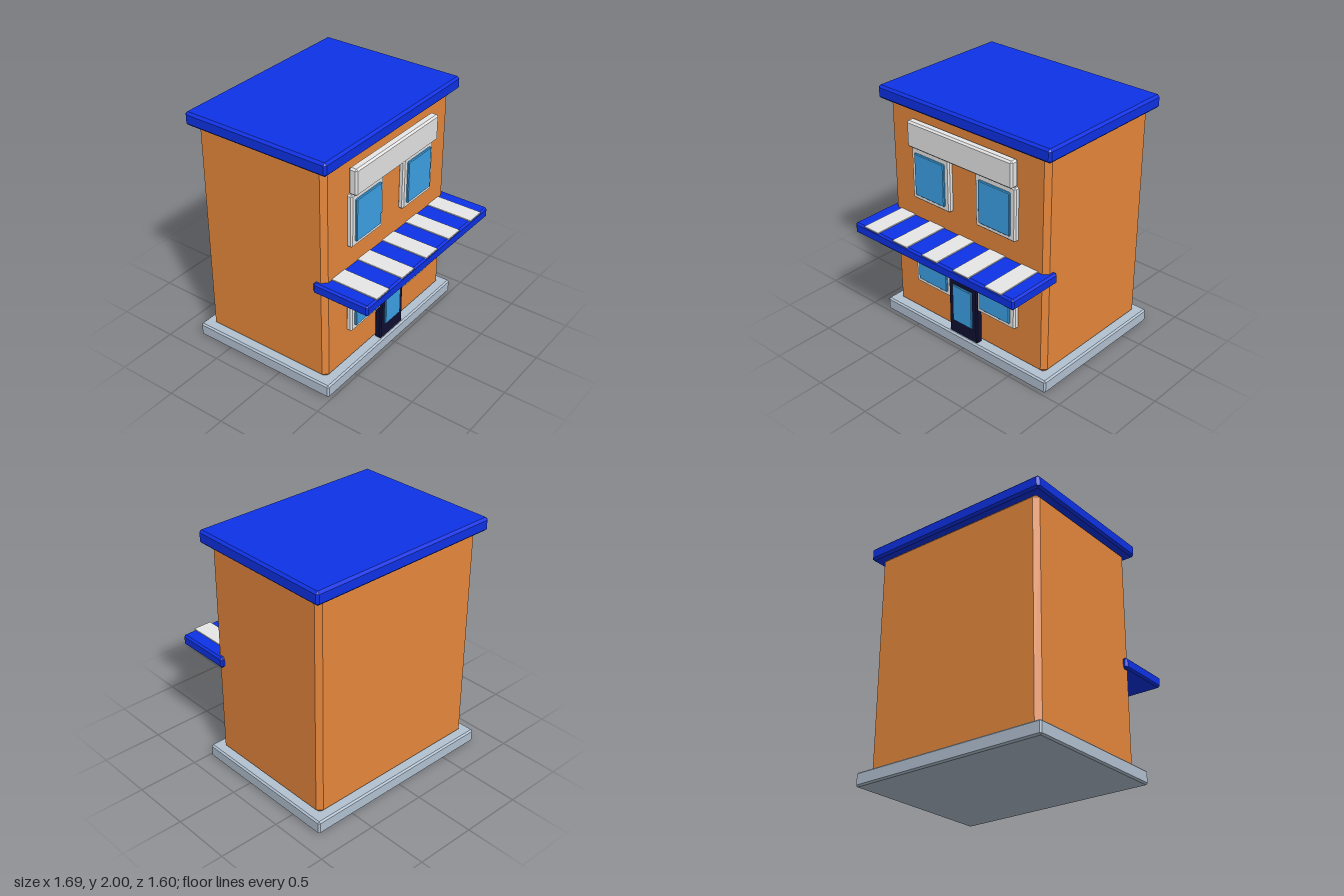
import * as THREE from 'three';
import { ConvexGeometry } from 'three/addons/geometries/ConvexGeometry.js';

const material = (name, color) => {
  const m = new THREE.MeshStandardMaterial({ color });
  m.name = name;
  return m;
};

// Box with flat 45 degree chamfers, given by its [min, max] range on each axis
function chamferBox(x, y, z, c) {
  const mid = [x, y, z].map(([a, b]) => (a + b) / 2);
  const half = [x, y, z].map(([a, b]) => (b - a) / 2);
  const points = [];
  for (const sx of [-1, 1]) for (const sy of [-1, 1]) for (const sz of [-1, 1]) {
    const s = [sx, sy, sz];
    // each corner is cut into three points, one per adjoining face
    for (let face = 0; face < 3; face++) {
      points.push(new THREE.Vector3(...s.map((v, i) => v * (half[i] - (i === face ? 0 : c)))));
    }
  }
  return new ConvexGeometry(points).translate(...mid);
}

export function createModel() {
  const group = new THREE.Group();
  group.name = 'shop';

  const brick = material('orange wall', 0xe7883c);
  const blue = material('blue trim', 0x0e32e7);
  const white = material('light trim', 0xe7e7e7);
  const glass = material('window blue', 0x3da3e7);
  const stone = material('grey stone', 0xb3c2d2);
  const dark = material('dark door', 0x0f0f32);

  const add = (name, mat, x, y, z, c, parent = group) => {
    const mesh = new THREE.Mesh(chamferBox(x, y, z, c), mat);
    mesh.name = name;
    parent.add(mesh);
  };

  // Main masses
  add('base', stone, [-0.843, 0.843], [0, 0.11], [-0.8, 0.48], 0.013);
  add('walls', brick, [-0.777, 0.777], [0.095, 1.91], [-0.733, 0.41], 0.038);
  add('roof', blue, [-0.835, 0.835], [1.893, 2], [-0.79, 0.468], 0.018);

  // Awning with five pale stripes
  add('awning', blue, [-0.808, 0.808], [0.885, 0.975], [0.32, 0.8], 0.015);
  for (let i = -2; i <= 2; i++) {
    const x = i * 0.311;
    add('awningStripe', white, [x - 0.077, x + 0.077], [0.971, 0.983], [0.33, 0.803], 0.001);
  }

  // Four framed windows
  for (const side of [-1, 1]) {
    for (const y of [0.623, 1.377]) {
      const win = new THREE.Group();
      win.name = 'window';
      const x = side * 0.323;
      add('windowFrame', white, [x - 0.193, x + 0.193], [y - 0.218, y + 0.218], [0.4, 0.45], 0.012, win);
      add('windowPane', glass, [x - 0.151, x + 0.151], [y - 0.175, y + 0.175], [0.43, 0.466], 0.006, win);
      group.add(win);
    }
  }

  // Blank sign board
  add('signBoard', white, [-0.516, 0.516], [1.602, 1.815], [0.418, 0.49], 0.014);

  // Door with glass panel
  add('door', dark, [-0.147, 0.147], [0.105, 0.636], [0.405, 0.464], 0.01);
  add('doorPane', glass, [-0.099, 0.099], [0.23, 0.558], [0.45, 0.477], 0.005);

  return group;
}
